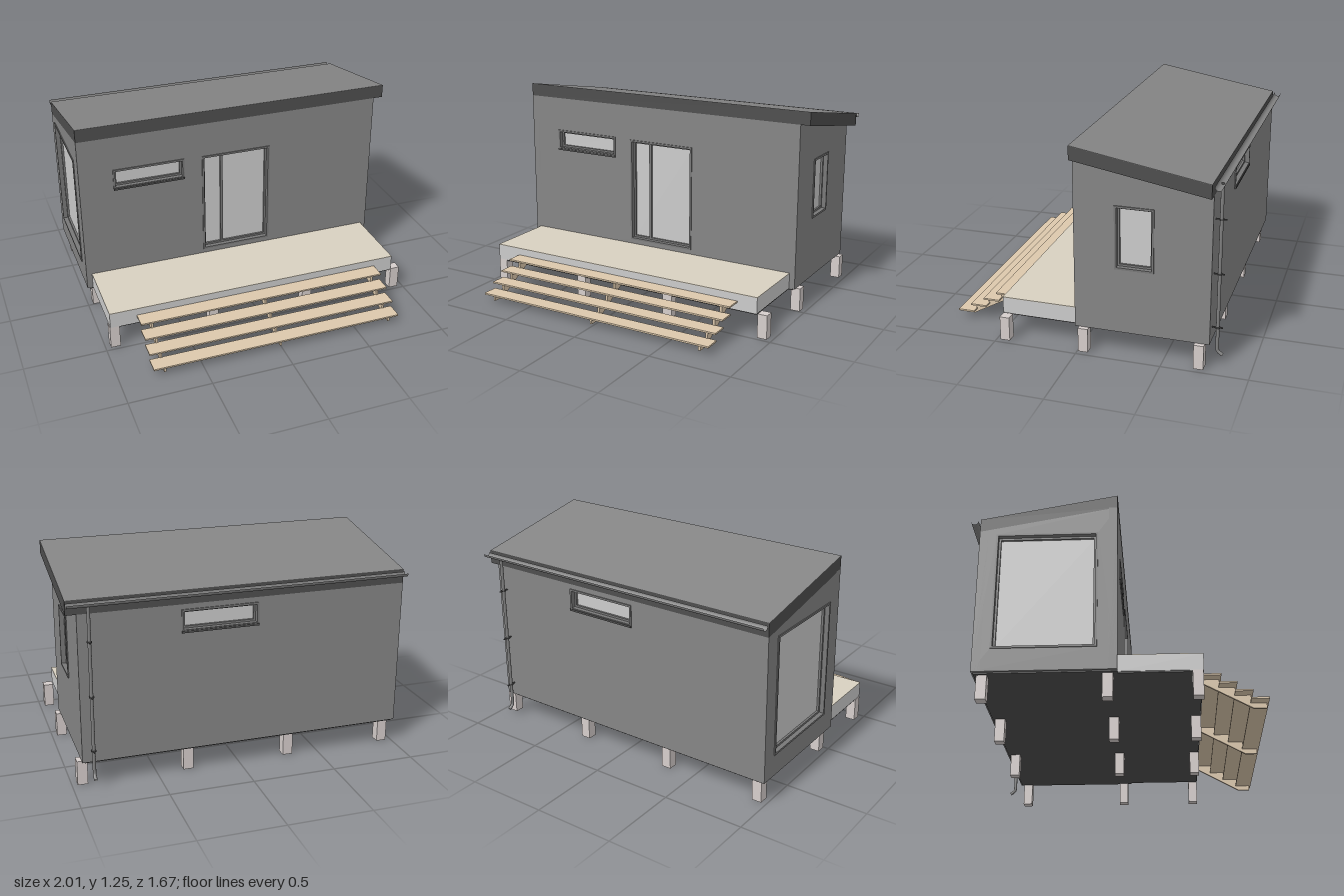
import * as THREE from 'three';

const mat = (color, side = THREE.FrontSide) => new THREE.MeshStandardMaterial({ color, side });
const M = {
  wall: mat(0x858585), trim: mat(0x4e4e4e), frame: mat(0x787878), glass: mat(0xcccccc),
  grey: mat(0xcccccc), deck: mat(0xd8d0c0), wood: mat(0xdcc8ac), post: mat(0xd6cecc),
  metal: mat(0x808080, THREE.DoubleSide),
};

function add(parent, name, geo, material, x = 0, y = 0, z = 0) {
  const m = new THREE.Mesh(geo, material);
  m.name = name;
  m.position.set(x, y, z);
  parent.add(m);
  return m;
}

// Box given by its min and max on each axis
function box(parent, name, material, x0, x1, y0, y1, z0, z1) {
  return add(parent, name, new THREE.BoxGeometry(x1 - x0, y1 - y0, z1 - z0), material,
    (x0 + x1) / 2, (y0 + y1) / 2, (z0 + z1) / 2);
}

const poly = (pts) => new THREE.Shape(pts.map(([x, y]) => new THREE.Vector2(x, y)));
const rect = (x0, x1, y0, y1) => poly([[x0, y0], [x1, y0], [x1, y1], [x0, y1]]);
const extrude = (shape, depth) =>
  new THREE.ExtrudeGeometry(shape, { depth, bevelEnabled: false, curveSegments: 12 });

// Rectangular ring between z0 and z1
function ring(parent, name, [x0, x1, y0, y1], t, z0, z1) {
  const s = rect(x0, x1, y0, y1);
  s.holes.push(rect(x0 + t, x1 - t, y0 + t, y1 - t));
  add(parent, name, extrude(s, z1 - z0), M.frame, 0, 0, z0);
}

// Wall panel facing local +z, with rectangular framed openings
function wall(parent, name, outline, openings) {
  const g = new THREE.Group();
  g.name = name;
  parent.add(g);
  const s = poly(outline);
  openings.forEach(({ r }) => s.holes.push(rect(...r)));
  add(g, name + 'Panel', extrude(s, 0.05), M.wall, 0, 0, -0.05);
  openings.forEach(({ r, sill, mullion }) => {
    const [x0, x1, y0, y1] = r;
    ring(g, 'outerFrame', r, 0.012, -0.05, 0.006);
    ring(g, 'sash', [x0 + 0.012, x1 - 0.012, y0 + 0.012, y1 - 0.012], 0.012, -0.05, -0.022);
    box(g, 'glass', M.glass, x0 + 0.012, x1 - 0.012, y0 + 0.012, y1 - 0.012, -0.045, -0.035);
    if (sill) box(g, 'sill', M.trim, x0, x1, y0 - 0.006, y0 + 0.006, -0.03, 0.01);
    if (mullion !== undefined)
      box(g, 'mullion', M.frame, mullion - 0.008, mullion + 0.008, y0 + 0.02, y1 - 0.02, -0.04, -0.022);
  });
  return g;
}

export function createModel() {
  const model = new THREE.Group();
  model.name = 'cabin';
  const F = 0.02, B = -0.765, L = -1, R = 0.94, Y0 = 0.147, YF = 1.165, YB = 1.025;

  // Four walls
  const front = wall(model, 'frontWall', [[L, Y0], [R, Y0], [R, YF], [L, YF]], [
    { r: [-0.225, 0.225, 0.275, 0.945], mullion: -0.09 },
    { r: [-0.79, -0.34, 0.82, 0.95], sill: true },
  ]);
  front.position.z = F;
  const back = wall(model, 'backWall', [[-R, Y0], [-L, Y0], [-L, YB], [-R, YB]], [
    { r: [-0.355, 0.1, 0.865, 0.995], sill: true },
  ]);
  back.position.z = B;
  back.rotation.y = Math.PI;
  const leftWall = wall(model, 'leftWall', [[-F, Y0], [-B, Y0], [-B, YB], [-F, YF]], [
    { r: [0.217, 0.443, 0.535, 0.911] },
  ]);
  leftWall.position.x = R;
  leftWall.rotation.y = Math.PI / 2;
  const rightWall = wall(model, 'rightWall', [[B, Y0], [F, Y0], [F, YF], [B, YB]], [
    { r: [-0.668, -0.09, 0.28, 1.0] },
  ]);
  rightWall.position.x = L;
  rightWall.rotation.y = -Math.PI / 2;

  // Sloped roof slab with a lighter sheet on top
  const slope = (lo, hi) => poly([[-F, YF + lo], [-B, YB + lo], [-B, YB + hi], [-F, YF + hi]]);
  add(model, 'roof', extrude(slope(0, 0.078), 2), M.trim, -1).rotation.y = Math.PI / 2;
  add(model, 'roofSheet', extrude(slope(0.078, 0.081), 2), M.wall, -1).rotation.y = Math.PI / 2;

  // Floor and deck
  box(model, 'floor', M.trim, -0.985, 0.925, 0.139, 0.15, B + 0.01, F);
  box(model, 'deckUnderside', M.trim, -0.96, 0.9, 0.139, 0.148, F, 0.475);
  box(model, 'deckFrame', M.grey, -0.965, 0.905, 0.147, 0.242, F, 0.48);
  box(model, 'deckBoards', M.deck, -0.965, 0.905, 0.242, 0.246, F, 0.48);

  // Foundation posts
  for (const x of [-0.938, -0.312, 0.312, 0.938])
    for (const z of [0.448, -0.034, -0.71])
      box(model, 'post', M.post, x - 0.03, x + 0.03, 0, 0.147, z - 0.029, z + 0.029);

  // Stairs: treads on three stepped stringers
  const steps = [[0.825, 0.045], [0.74, 0.092], [0.655, 0.141], [0.57, 0.19]];
  const profile = [[-0.477, 0.168], [-0.477, 0.19]];
  [...steps].reverse().forEach(([z, y], i) => {
    profile.push([-z, y]);
    if (i < 3) profile.push([-z, steps[2 - i][1]]);
  });
  profile.push([-0.825, 0.015], [-0.754, 0.015]);
  for (const x of [-0.73, -0.005, 0.72])
    add(model, 'stringer', extrude(poly(profile), 0.014), M.wood, x - 0.007).rotation.y = Math.PI / 2;
  for (const [z, y] of steps)
    box(model, 'tread', M.wood, -0.8, 0.78, y, y + 0.01, z - 0.09, z + 0.01);

  // Half-round gutter, open at the top
  const gutter = add(model, 'gutter',
    new THREE.CylinderGeometry(0.022, 0.022, 2, 16, 1, true, -Math.PI / 2, Math.PI), M.metal, 0, 1.096, -0.8);
  gutter.geometry.rotateX(Math.PI / 2).rotateY(Math.PI / 2).rotateX(0);
  // Turn the trough so its open side faces up
  gutter.geometry.computeBoundingBox();
  if (gutter.geometry.boundingBox.max.y > 0.01) gutter.geometry.rotateX(Math.PI);

  // Downpipe with kicked-out foot and wall clips
  const px = 0.88, pz = -0.797;
  const path = new THREE.CurvePath();
  const v = (y, z) => new THREE.Vector3(px, y, z);
  path.add(new THREE.LineCurve3(v(1.078, pz), v(0.105, pz)));
  path.add(new THREE.QuadraticBezierCurve3(v(0.105, pz), v(0.085, pz), v(0.077, pz - 0.012)));
  path.add(new THREE.LineCurve3(v(0.077, pz - 0.012), v(0.063, pz - 0.031)));
  add(model, 'downpipe', new THREE.TubeGeometry(path, 120, 0.01, 12), M.metal);
  for (const y of [0.875, 0.555, 0.23]) {
    box(model, 'pipeClip', M.trim, px - 0.004, px + 0.004, y - 0.003, y + 0.003, -0.826, B);
    add(model, 'pipeCollar', new THREE.CylinderGeometry(0.015, 0.015, 0.007, 12), M.trim, px, y, pz);
  }
  return model;
}
